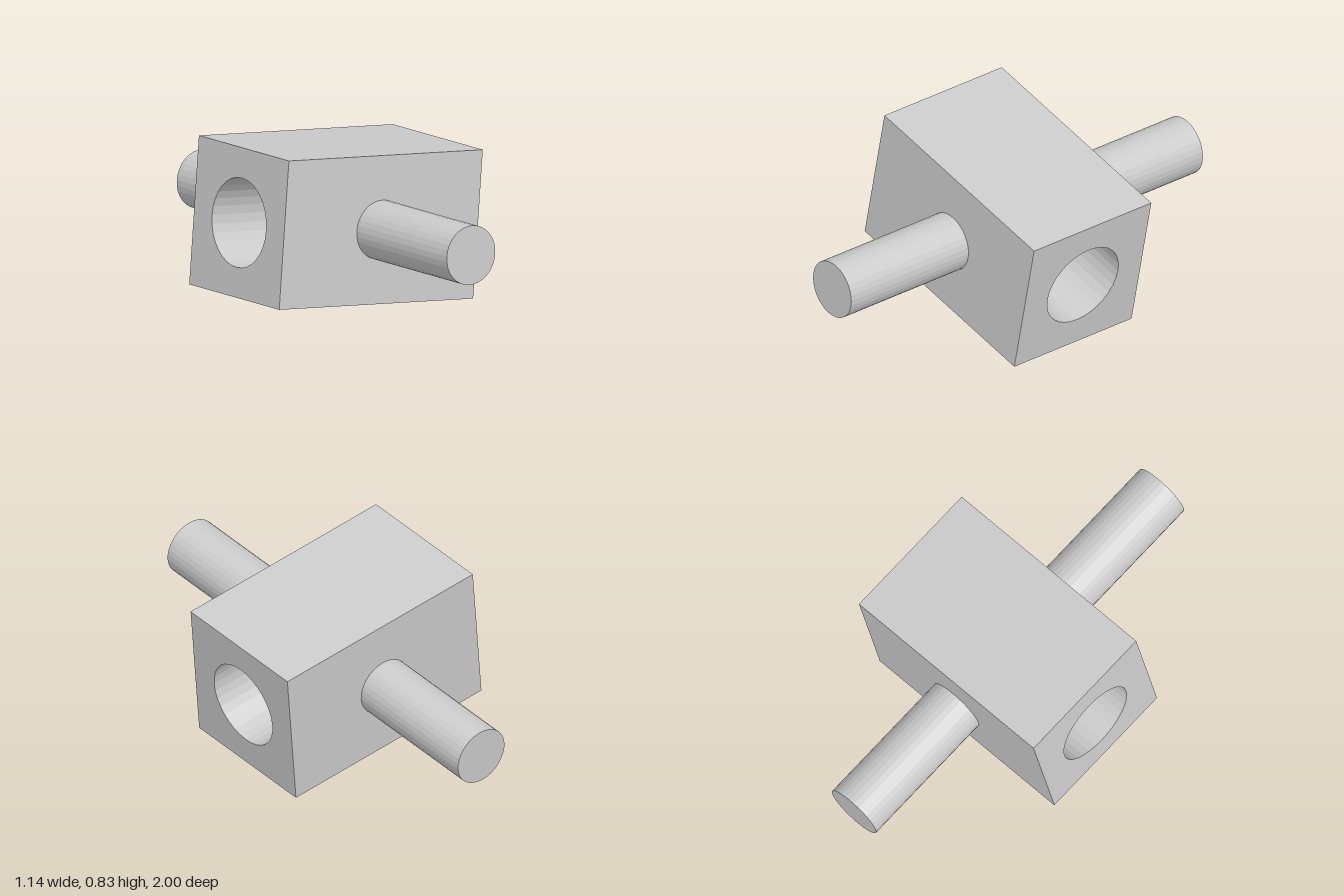
import * as THREE from 'three';

export function createModel() {
  const u = 0.6615; // side of the block's square section
  const length = 1.6 * u, reach = 1.5 * u, embed = 0.03;
  const material = new THREE.MeshStandardMaterial({ color: 0xcccccc, flatShading: true });
  const model = new THREE.Group();
  model.name = 'crossBlock';

  // Square block, bored through from side to side
  const section = new THREE.Shape([
    new THREE.Vector2(-u / 2, -u / 2), new THREE.Vector2(u / 2, -u / 2),
    new THREE.Vector2(u / 2, u / 2), new THREE.Vector2(-u / 2, u / 2),
  ]);
  const bore = new THREE.Path();
  bore.absarc(0, 0, 0.3 * u, 0, Math.PI * 2, true);
  section.holes.push(bore);
  const blockGeometry = new THREE.ExtrudeGeometry(section, {
    depth: length, bevelEnabled: false, curveSegments: 16,
  });
  blockGeometry.translate(0, 0, -length / 2).rotateY(Math.PI / 2);
  const block = new THREE.Mesh(blockGeometry, material);
  block.name = 'boredBlock';
  model.add(block);

  // Round pins on the front and back, stopping short of the bore
  const pinLength = reach - u / 2 + embed;
  for (const [name, side] of [['frontPin', 1], ['backPin', -1]]) {
    const geometry = new THREE.CylinderGeometry(0.2 * u, 0.2 * u, pinLength, 32);
    geometry.rotateX(side * Math.PI / 2).translate(0, 0, side * (reach - pinLength / 2));
    const pin = new THREE.Mesh(geometry, material);
    pin.name = name;
    model.add(pin);
  }

  // Slight tilt of the whole piece
  const z = new THREE.Vector3(-0.012, 0.065, 0.998).normalize();
  const x = new THREE.Vector3(0.9916, -0.1275, 0.02).normalize();
  const y = new THREE.Vector3().crossVectors(z, x).normalize();
  x.crossVectors(y, z);
  model.quaternion.setFromRotationMatrix(new THREE.Matrix4().makeBasis(x, y, z));
  model.position.y = 0.418;
  return model;
}
